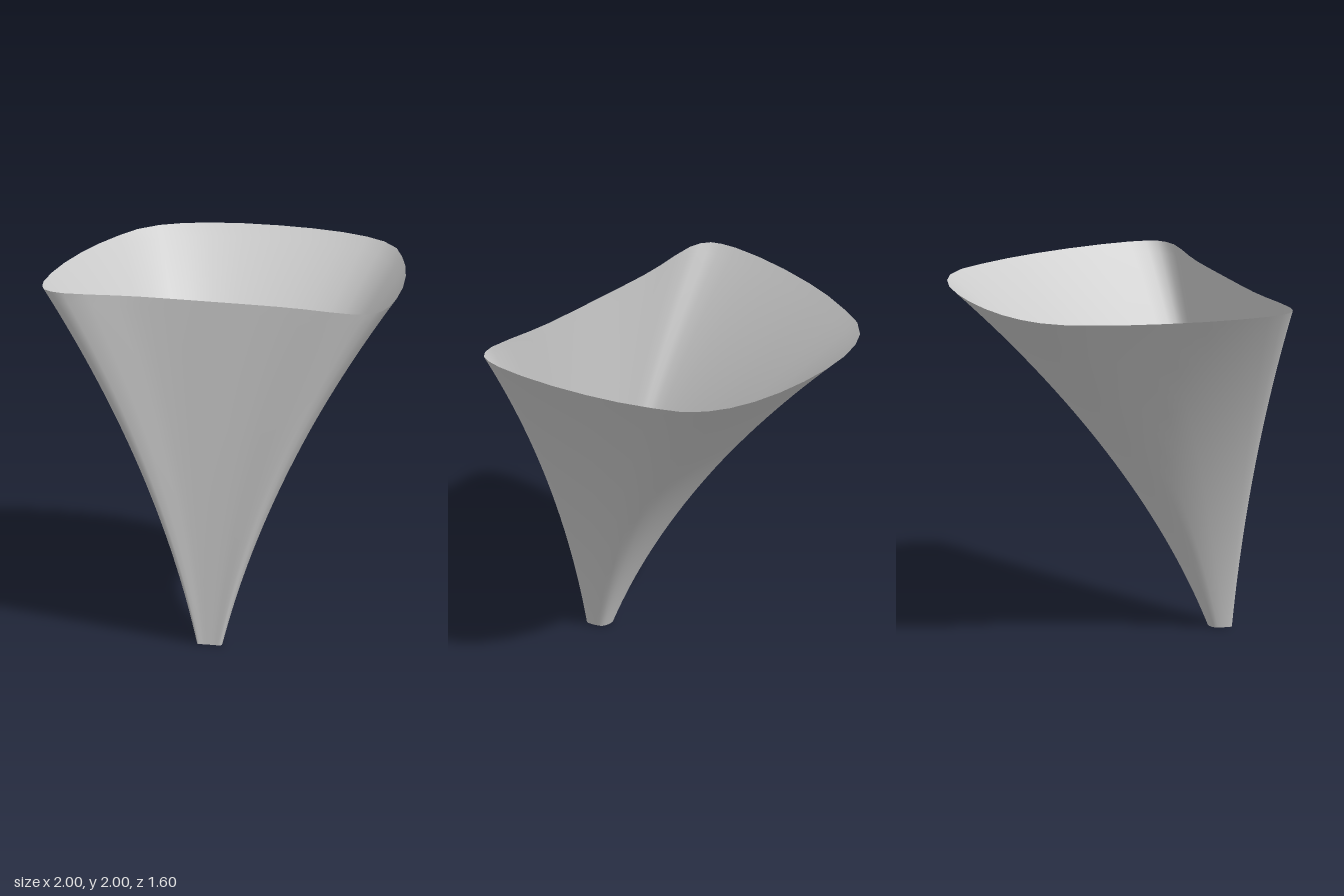
import * as THREE from 'three';

// Half of the rim, from the middle of the back round to the middle of the front:
// [x as a share of half width, z with -0.8 as back and 0.8 as front]
const HALF = [
  [0, -0.8], [0.2, -0.79], [0.38, -0.76], [0.53, -0.71], [0.65, -0.64], [0.75, -0.53],
  [0.82, -0.38], [0.89, -0.19], [0.94, 0], [0.98, 0.22], [1, 0.43], [1, 0.6],
  [0.985, 0.69], [0.96, 0.75], [0.91, 0.785], [0.84, 0.8], [0.7, 0.79], [0.55, 0.77],
  [0.4, 0.758], [0.2, 0.755], [0, 0.755],
];

// Flare rules along the height
const halfWidth = (y) => 0.07 + 0.235 * y + 0.115 * y * y;
const backZ = (y) => 0.66 - 0.394 * y - 0.168 * y * y;
const frontZ = (y) => 0.772 + 0.014 * y;

function createFunnelGeometry(rows = 32) {
  const mirrored = HALF.slice(1, -1).reverse().map(([x, z]) => [-x, z]);
  const loop = [...HALF, ...mirrored];
  const n = loop.length;
  const positions = [];
  const index = [];
  for (let r = 0; r <= rows; r++) {
    const y = (2 * r) / rows;
    for (const [x, z] of loop) {
      const t = (z + 0.8) / 1.6;
      positions.push(x * halfWidth(y), y, THREE.MathUtils.lerp(backZ(y), frontZ(y), t));
    }
  }
  for (let r = 0; r < rows; r++) {
    for (let i = 0; i < n; i++) {
      const a = r * n + i;
      const b = r * n + ((i + 1) % n);
      index.push(a, a + n, b, b, a + n, b + n);
    }
  }
  const geometry = new THREE.BufferGeometry();
  geometry.setAttribute('position', new THREE.Float32BufferAttribute(positions, 3));
  geometry.setIndex(index);
  geometry.computeVertexNormals();
  return geometry;
}

export function createModel() {
  const group = new THREE.Group();
  group.name = 'flaredFunnel';
  // Thin shell, open at the wide rim and at the narrow spout
  const material = new THREE.MeshStandardMaterial({ color: 0xcccccc, side: THREE.DoubleSide });
  const shell = new THREE.Mesh(createFunnelGeometry(), material);
  shell.name = 'funnelShell';
  group.add(shell);
  return group;
}
